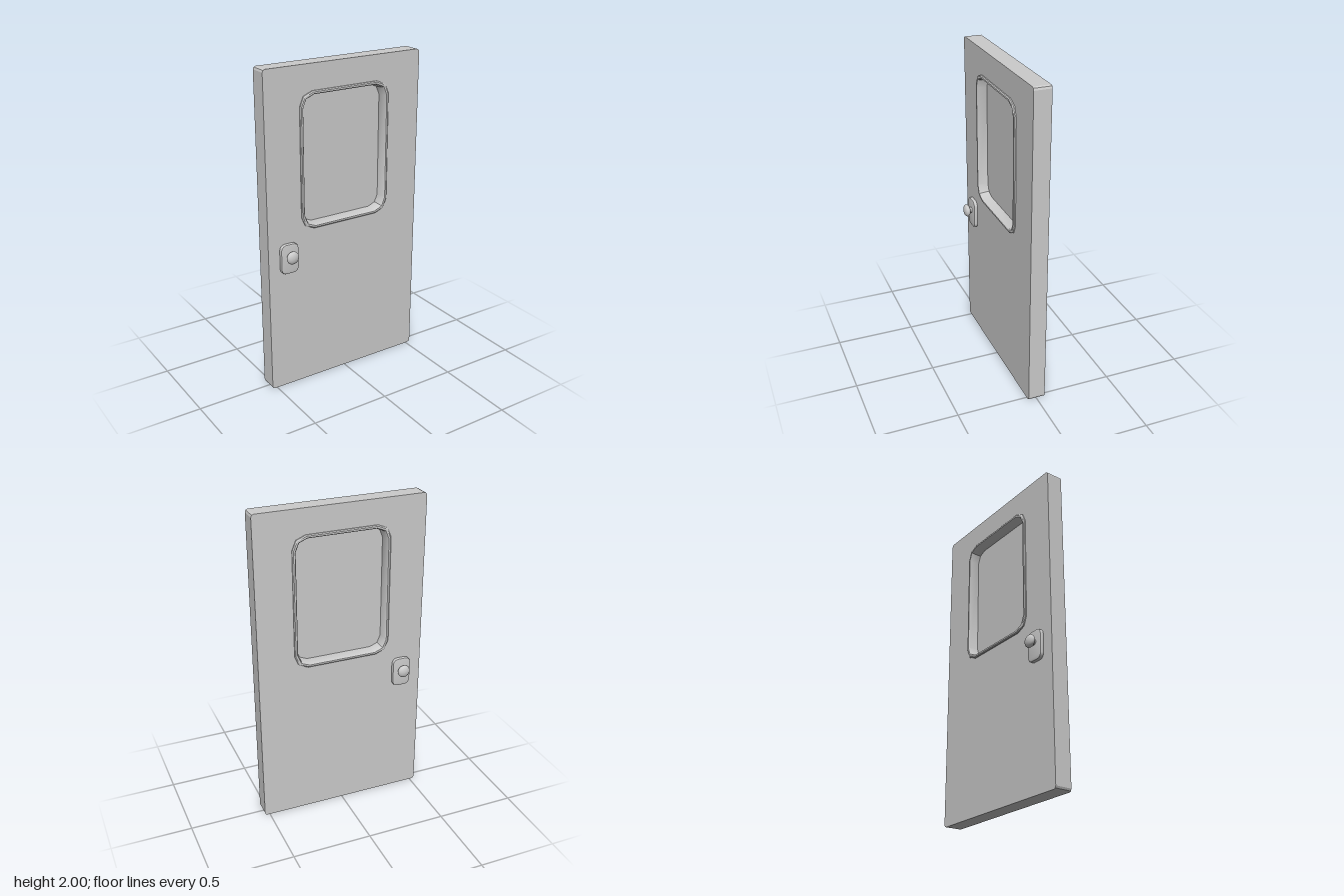
import * as THREE from 'three';
import { toCreasedNormals } from 'three/addons/utils/BufferGeometryUtils.js';

const material = new THREE.MeshStandardMaterial({ color: 0xcccccc });
const DOOR_Z = 0.053;      // half thickness of the door
const WINDOW_Y = 1.43;     // window centre height

function mesh(name, geometry) {
  const m = new THREE.Mesh(geometry, material);
  m.name = name;
  return m;
}

// Counter-clockwise corner points of a rounded rectangle around (cx, cy)
function roundedRect(hw, hh, r, segments, cx = 0, cy = 0) {
  const points = [];
  const signs = [[1, 1], [-1, 1], [-1, -1], [1, -1]];
  signs.forEach(([sx, sy], corner) => {
    for (let i = 0; i <= segments; i++) {
      const a = (corner + i / segments) * Math.PI / 2;
      points.push(new THREE.Vector2(
        cx + sx * (hw - r) + r * Math.cos(a),
        cy + sy * (hh - r) + r * Math.sin(a)));
    }
  });
  return points;
}

// Window outline, moved inwards by an inset
function windowOutline(inset) {
  return roundedRect(0.305 - inset, 0.415 - inset, 0.083 - inset * 0.5, 2, 0, WINDOW_Y);
}

// Skin a series of [inset, z] steps around the window outline
function windowLoft(profile) {
  const positions = [], index = [];
  let n = 0;
  for (const [inset, z] of profile) {
    const ring = windowOutline(inset);
    n = ring.length;
    ring.forEach(p => positions.push(p.x, p.y, z));
  }
  for (let i = 0; i < profile.length - 1; i++) {
    for (let j = 0; j < n; j++) {
      const a = i * n + j, b = i * n + (j + 1) % n;
      index.push(a, b, a + n, b, b + n, a + n);
    }
  }
  const geometry = new THREE.BufferGeometry();
  geometry.setAttribute('position', new THREE.Float32BufferAttribute(positions, 3));
  geometry.setIndex(index);
  return toCreasedNormals(geometry, 0.6);
}

// Plate, stem and knob, facing +z from z = 0
function createHandle(name) {
  const handle = new THREE.Group();
  handle.name = name;

  const bevel = 0.007;
  const plateShape = new THREE.Shape(roundedRect(0.059 - bevel, 0.094 - bevel, 0.028, 5));
  const plate = mesh('handlePlate', toCreasedNormals(new THREE.ExtrudeGeometry(plateShape, {
    depth: 0.015, bevelThickness: bevel, bevelSize: bevel, bevelSegments: 2,
  }), 0.6));
  plate.position.y = -0.019;

  // Stem flowing into a flattened round knob
  const profile = [[0.018, 0.018], [0.018, 0.034]].map(p => new THREE.Vector2(...p));
  for (let i = 0; i <= 10; i++) {
    const a = THREE.MathUtils.lerp(-1.1, Math.PI / 2, i / 10);
    profile.push(new THREE.Vector2(Math.max(0, 0.04 * Math.cos(a)), 0.052 + 0.021 * Math.sin(a)));
  }
  const knob = mesh('knob', new THREE.LatheGeometry(profile, 24));
  knob.rotation.x = Math.PI / 2;

  handle.add(plate, knob);
  return handle;
}

export function createModel() {
  const door = new THREE.Group();
  door.name = 'door';

  // Slab with an opening for the window
  const slabShape = new THREE.Shape(roundedRect(0.532, 1, 0.017, 2, 0, 1));
  slabShape.holes.push(new THREE.Path(windowOutline(0.014)));
  const slab = mesh('doorSlab', new THREE.ExtrudeGeometry(slabShape, {
    depth: 2 * DOOR_Z, bevelEnabled: false,
  }));
  slab.position.z = -DOOR_Z;
  door.add(slab);

  // Window frame: raised lip on both faces, sloping in to the pane
  const half = [[0, 0.05], [0, 0.06], [0.006, 0.065], [0.016, 0.065], [0.021, 0.058], [0.029, 0]];
  const back = half.slice(0, -1).reverse().map(([inset, z]) => [inset, -z]);
  door.add(mesh('windowFrame', windowLoft([...half, ...back])));

  // Thin pane in the middle of the frame
  const pane = mesh('windowPane', new THREE.ExtrudeGeometry(
    new THREE.Shape(windowOutline(0.026)), { depth: 0.006, bevelEnabled: false }));
  pane.position.z = -0.003;
  door.add(pane);

  // A handle on each face
  for (const side of [1, -1]) {
    const handle = createHandle(side > 0 ? 'frontHandle' : 'backHandle');
    handle.position.set(-0.398, 0.881, side * DOOR_Z);
    if (side < 0) handle.rotation.y = Math.PI;
    door.add(handle);
  }
  return door;
}
